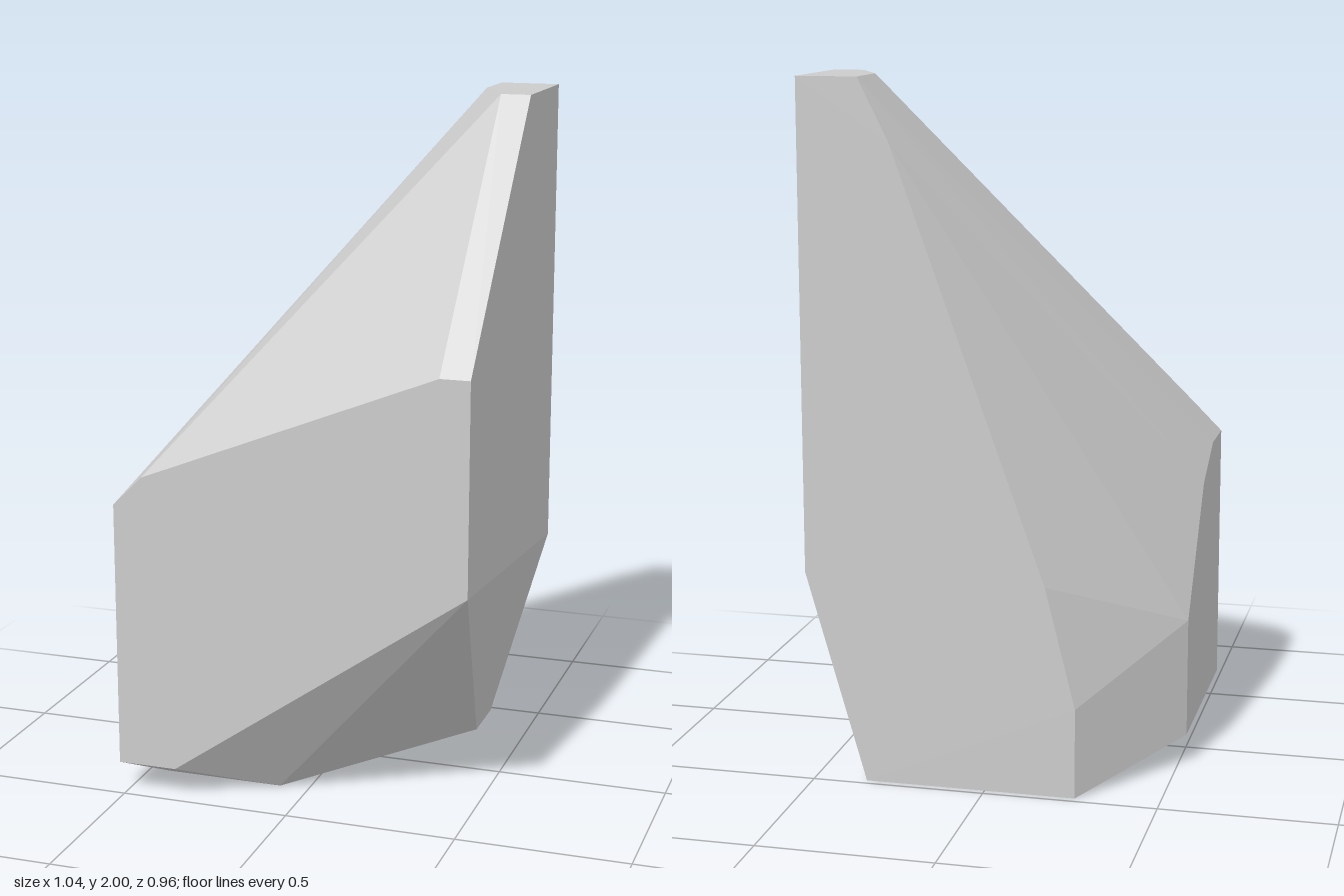
import * as THREE from 'three';
import { ConvexGeometry } from 'three/addons/geometries/ConvexGeometry.js';

// Corners sit on a regular lattice; 23 steps make the full height of 2.
const UNIT = 2 / 23;

// Slices through the rock: each height (in steps) with its [x, z] corners.
const LAYERS = [
  // flat underside
  [0, [[4, -5.5], [4, -3.5], [-1, 3.5], [-5, 3.5], [-5, 0.5], [-3, -5.5]]],
  // bevel around the foot
  [1, [[-6, 5.5], [-4, 5.5], [-6, -1.5]]],
  // lower shoulders of the back, left and right walls
  [3, [[-3, -5.5]]],
  [5, [[-6, -1.5]]],
  [7, [[6, -5.5], [-2, -5.5]]],
  [8, [[6, 5.5]]],
  // start of the long slope
  [9, [[-6, 1.5]]],
  [10, [[-6, 3.5], [-6, 5.5]]],
  [11, [[-5, 5.5]]],
  [15, [[5, 5.5], [6, 5.5]]],
  // small flat tip
  [21, [[3, -5.5]]],
  [23, [[6, -5.5], [4, -5.5], [4, -3.5], [5, -1.5], [6, -1.5]]],
];

export function createModel() {
  const group = new THREE.Group();
  group.name = 'rock';

  const corners = LAYERS.flatMap(([y, points]) =>
    points.map(([x, z]) => new THREE.Vector3(x, y, z).multiplyScalar(UNIT)));

  // The rock is the faceted hull around its corners.
  const material = new THREE.MeshStandardMaterial({ color: 0xcccccc, flatShading: true });
  const boulder = new THREE.Mesh(new ConvexGeometry(corners), material);
  boulder.name = 'boulder';
  group.add(boulder);
  return group;
}
